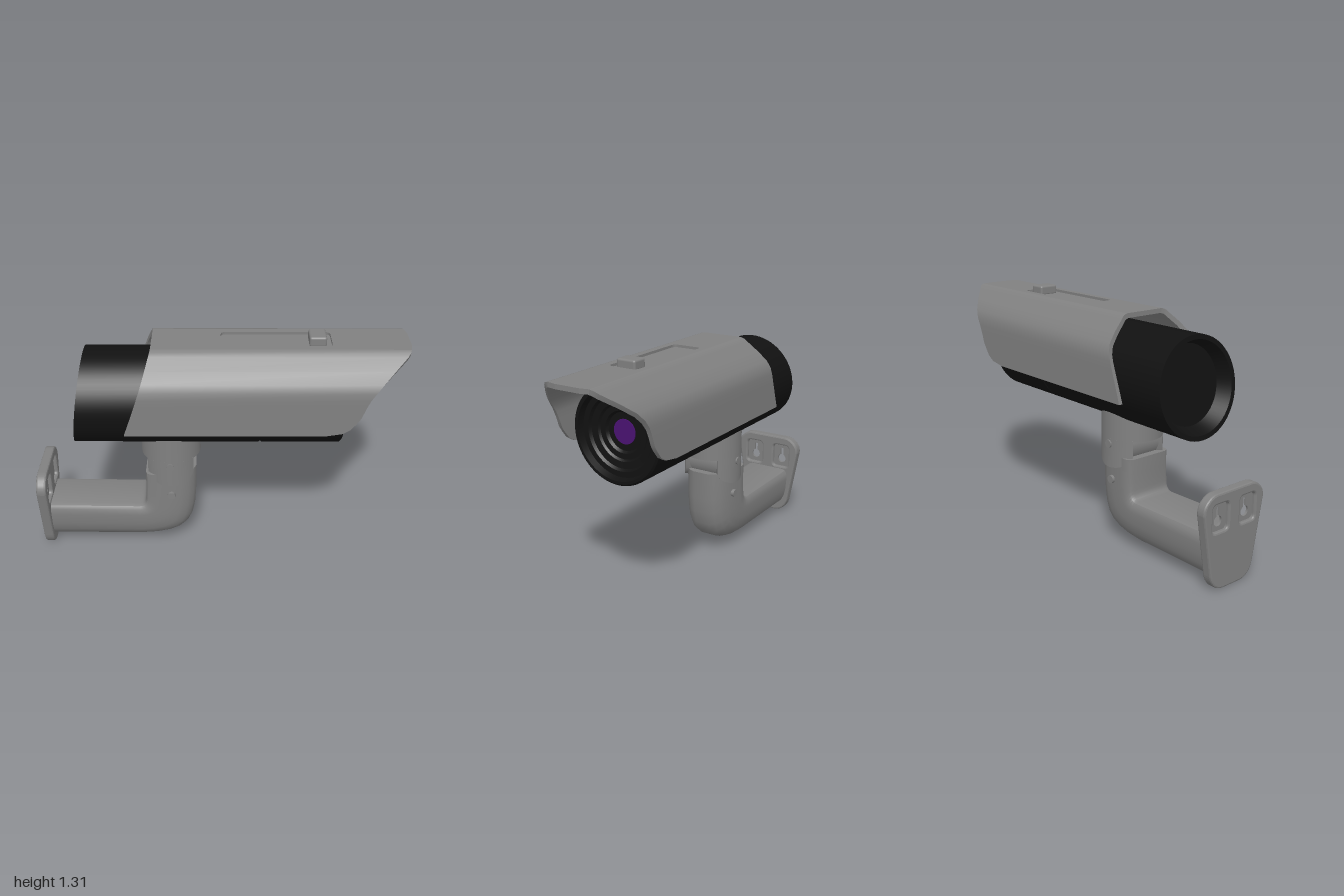
import * as THREE from 'three';
import { toCreasedNormals } from 'three/addons/utils/BufferGeometryUtils.js';
import { RoundedBoxGeometry } from 'three/addons/geometries/RoundedBoxGeometry.js';

const mat = (name, color) => {
  const m = new THREE.MeshStandardMaterial({ color });
  m.name = name;
  return m;
};

// Solid through matching closed loops of [x, y, z]; point i of a loop faces point m-1-i, which closes the ends.
function loft(rings, crease = 0.6) {
  const m = rings[0].length, last = (rings.length - 1) * m, idx = [];
  const quad = (a, b, c, d) => idx.push(a, b, c, a, c, d);
  for (let k = 0; k < rings.length - 1; k++)
    for (let i = 0; i < m; i++) {
      const j = (i + 1) % m;
      quad(k * m + i, k * m + j, (k + 1) * m + j, (k + 1) * m + i);
    }
  for (let i = 0; i < m / 2 - 1; i++) {
    quad(i + 1, i, m - 1 - i, m - 2 - i);
    quad(last + i, last + i + 1, last + m - 2 - i, last + m - 1 - i);
  }
  // Turn the faces outward if the enclosed volume is negative
  const p = rings.flat().map(v => new THREE.Vector3(...v));
  let vol = 0;
  for (let i = 0; i < idx.length; i += 3) vol += p[idx[i]].dot(p[idx[i + 1]].clone().cross(p[idx[i + 2]]));
  if (vol < 0) idx.reverse();
  const g = new THREE.BufferGeometry().setFromPoints(p);
  g.setIndex(idx);
  return toCreasedNormals(g, crease);
}

function roundRect(path, x0, y0, x1, y1, r) {
  path.moveTo(x0 + r, y0);
  path.lineTo(x1 - r, y0).quadraticCurveTo(x1, y0, x1, y0 + r);
  path.lineTo(x1, y1 - r).quadraticCurveTo(x1, y1, x1 - r, y1);
  path.lineTo(x0 + r, y1).quadraticCurveTo(x0, y1, x0, y1 - r);
  path.lineTo(x0, y0 + r).quadraticCurveTo(x0, y0, x0 + r, y0);
  return path;
}

export function createModel() {
  const grey = mat('grey metal', 0x808080);
  const black = mat('black housing', 0x111111);
  const purple = mat('purple lens', 0x4a1272);
  const model = new THREE.Group();
  const add = (name, geo, material, x = 0, y = 0, z = 0) => {
    const mesh = new THREE.Mesh(geo, material);
    mesh.name = name;
    mesh.position.set(x, y, z);
    model.add(mesh);
    return mesh;
  };

  // Housing: turned along x, with a slanted recessed back and stepped lens rings in front
  const profile = [
    [0, -0.66], [0.205, -0.66], [0.235, -0.735], [0.26, -0.735],
    [0.26, 0.225], [0.256, 0.228], [0.256, 0.236], [0.26, 0.239],
    [0.26, 0.655], [0.25, 0.665], [0.235, 0.665], [0.225, 0.63], [0.195, 0.63],
    [0.185, 0.615], [0.15, 0.61], [0.14, 0.6], [0.11, 0.6], [0.1, 0.585], [0, 0.58],
  ].map(([r, x]) => new THREE.Vector2(r, x));
  const housing = new THREE.LatheGeometry(profile, 64).rotateZ(-Math.PI / 2);
  const hp = housing.attributes.position;
  for (let i = 0; i < hp.count; i++)
    if (hp.getX(i) < -0.4) hp.setX(i, hp.getX(i) + hp.getY(i) * 0.135);
  add('housing', toCreasedNormals(housing, 0.5), black, 0, 0.95, 0);
  add('lens', new THREE.CylinderGeometry(0.065, 0.065, 0.008, 40).rotateZ(-Math.PI / 2), purple, 0.585, 0.95, 0);

  // Hood sides: [half width, height, front end] from lower edge to roof
  const hoodEdge = [
    [0.29, 0.86, 0.56], [0.29, 0.875, 0.65], [0.29, 0.9, 0.69], [0.29, 0.935, 0.717], [0.29, 0.97, 0.74],
    [0.29, 1.02, 0.757], [0.29, 1.07, 0.778], [0.286, 1.11, 0.805], [0.268, 1.15, 0.84], [0.22, 1.2, 0.9],
    [0.16, 1.252, 0.968], [0.142, 1.268, 0.984], [0.12, 1.275, 0.99],
  ];
  const hoodBack = y => -0.48 + (y - 0.86) * 0.337;
  for (const s of [1, -1]) {
    const ring = end => {
      const x = ([, y, front]) => end ? front : hoodBack(y);
      const outer = hoodEdge.map(e => [x(e), e[1], s * e[0]]);
      const inner = hoodEdge.map(e => [x(e), 0.86 + (e[1] - 0.86) * 0.94, s * e[0] * 0.925]);
      return [...outer, ...inner.reverse()];
    };
    add(s > 0 ? 'hoodSideFront' : 'hoodSideBack', loft([ring(0), ring(1)]), grey);
  }

  // Hood roof with a slot, and the slider in it
  const roof = new THREE.Shape();
  roof.moveTo(-0.34, -0.12);
  for (const [x, y] of [[0.99, -0.12], [1, -0.07], [1, 0.07], [0.99, 0.12], [-0.34, 0.12]]) roof.lineTo(x, y);
  roof.holes.push(roundRect(new THREE.Path(), 0.02, -0.083, 0.595, 0.083, 0.03));
  add('hoodRoof', new THREE.ExtrudeGeometry(roof, { depth: 0.025, bevelEnabled: false }).rotateX(-Math.PI / 2), grey, 0, 1.25, 0);
  add('slotFloor', new THREE.BoxGeometry(0.6, 0.009, 0.19), grey, 0.308, 1.2565, 0);
  add('slider', new RoundedBoxGeometry(0.09, 0.055, 0.112, 3, 0.012), grey, 0.522, 1.2825, 0);

  // Neck under the housing, with two rounded ears and a pivot between them
  const px = -0.255, neckR = 0.165;
  add('neck', new THREE.CylinderGeometry(neckR, neckR, 0.18, 48), grey, px, 0.69, 0);
  for (const s of [1, -1]) {
    const rings = [];
    for (let i = 0; i <= 20; i++) {
      const a = (i / 10 - 1) * 0.87;
      const low = 0.515 - 0.07 * Math.sqrt(Math.max(0, 1 - (Math.sin(a) / Math.sin(0.87)) ** 2));
      const at = (r, y) => [px + r * Math.sin(a), y, s * r * Math.cos(a)];
      rings.push([at(neckR, 0.605), at(neckR, low), at(0.13, low), at(0.13, 0.605)]);
    }
    add(s > 0 ? 'earFront' : 'earBack', loft(rings), grey);
    for (const [y, z] of [[0.575, 0.162], [0.37, 0.145]])
      add('screw', new THREE.CylinderGeometry(0.022, 0.022, 0.02, 20).rotateX(Math.PI / 2), grey, px, y, s * z);
  }
  add('pivot', new THREE.CylinderGeometry(0.11, 0.11, 0.21, 32).rotateX(Math.PI / 2), grey, px, 0.56, 0);

  // Bent arm: each station runs from the inside to the outside of the bend
  const section = [[0, 0.11], [0.03, 0.13], [0.1, 0.142], [0.25, 0.145], [0.5, 0.14], [0.7, 0.13], [0.85, 0.11], [0.95, 0.08], [1, 0.045]];
  const stations = [
    [-0.96, 0.295, -0.96, 0.04], [-0.44, 0.288, -0.42, 0.04], [-0.425, 0.29, -0.34, 0.047],
    [-0.413, 0.297, -0.265, 0.064], [-0.406, 0.307, -0.205, 0.092], [-0.402, 0.32, -0.165, 0.13],
    [-0.4, 0.34, -0.14, 0.185], [-0.398, 0.38, -0.125, 0.26], [-0.396, 0.43, -0.118, 0.35], [-0.395, 0.51, -0.115, 0.51],
  ];
  const armRings = stations.map(([ix, iy, ox, oy]) => {
    const side = s => section.map(([t, w]) => [ix + (ox - ix) * t, iy + (oy - iy) * t, s * w]);
    return [...side(1), ...side(-1).reverse()];
  });
  add('arm', loft(armRings), grey);

  // Wall plate with two pockets, each holding a keyhole
  const plate = new THREE.Shape();
  plate.moveTo(-0.06, 0);
  plate.lineTo(0.06, 0).quadraticCurveTo(0.135, 0.005, 0.152, 0.085);
  plate.lineTo(0.21, 0.415).quadraticCurveTo(0.212, 0.46, 0.18, 0.485);
  plate.quadraticCurveTo(0.155, 0.508, 0.12, 0.51);
  plate.lineTo(-0.12, 0.51).quadraticCurveTo(-0.155, 0.508, -0.18, 0.485);
  plate.quadraticCurveTo(-0.212, 0.46, -0.21, 0.415);
  plate.lineTo(-0.152, 0.085).quadraticCurveTo(-0.135, 0.005, -0.06, 0);
  for (const c of [0.095, -0.095]) {
    plate.holes.push(roundRect(new THREE.Path(), c - 0.055, 0.31, c + 0.055, 0.455, 0.025));
    const web = roundRect(new THREE.Shape(), c - 0.065, 0.3, c + 0.065, 0.465, 0.02);
    const key = new THREE.Path();
    key.moveTo(c - 0.01, 0.432);
    key.lineTo(c + 0.01, 0.432).lineTo(c + 0.01, 0.385);
    key.absarc(c, 0.36, 0.027, 1.19, Math.PI - 1.19, true);
    key.closePath();
    web.holes.push(key);
    add('keyhole', new THREE.ExtrudeGeometry(web, { depth: 0.012, bevelEnabled: false }).rotateY(Math.PI / 2), grey, -0.978, 0, 0);
  }
  const plateGeo = new THREE.ExtrudeGeometry(plate, {
    depth: 0.035, bevelThickness: 0.01, bevelSize: 0.01, bevelOffset: -0.01, bevelSegments: 2,
  });
  add('wallPlate', plateGeo.rotateY(Math.PI / 2), grey, -0.99, 0, 0);

  return model;
}
